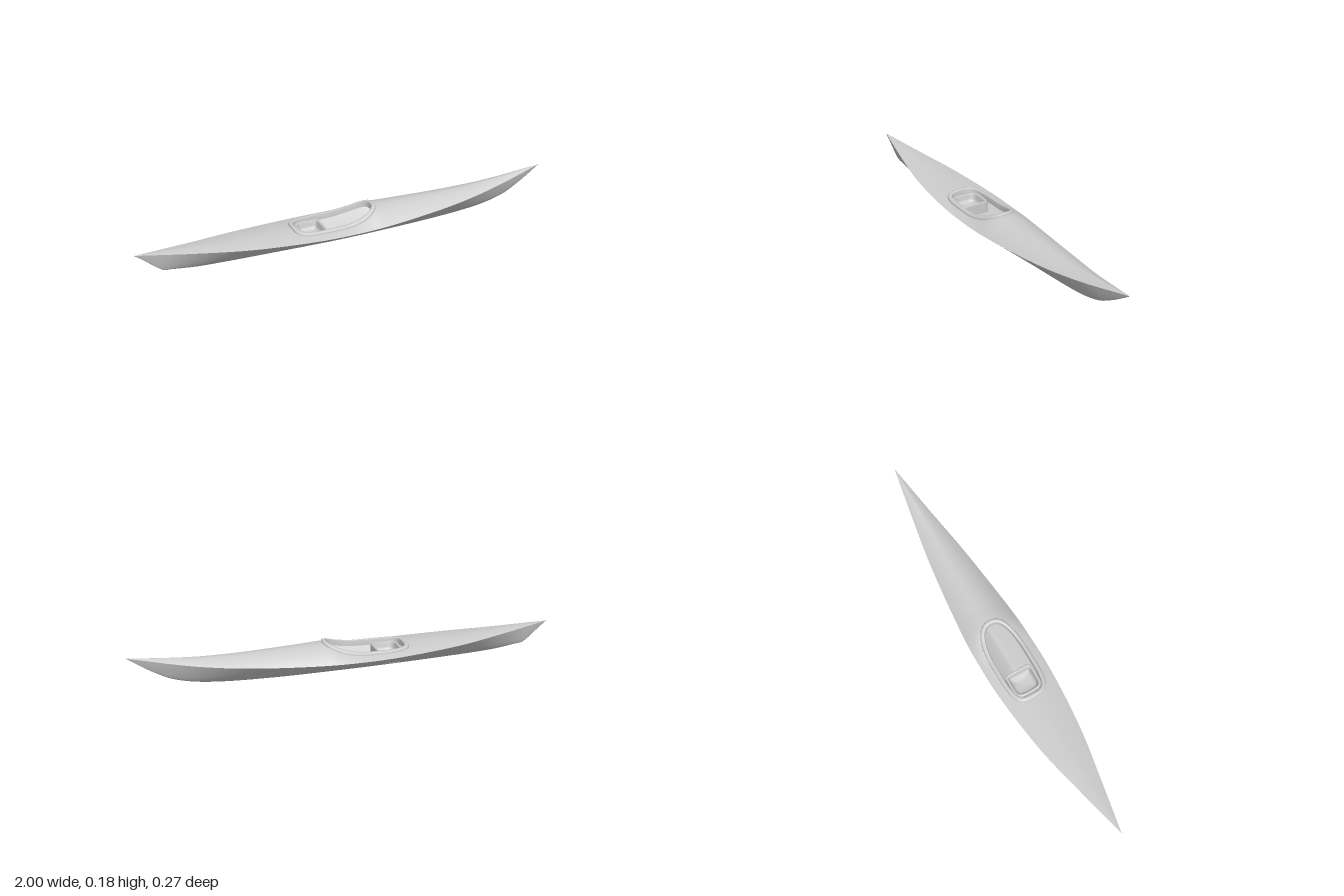
import * as THREE from 'three';
import { mergeVertices, mergeGeometries } from 'three/addons/utils/BufferGeometryUtils.js';

// Smooth curve through [x, value] points
function profile(pts) {
  const slope = i => {
    const a = pts[Math.max(0, i - 1)], b = pts[Math.min(pts.length - 1, i + 1)];
    return (b[1] - a[1]) / (b[0] - a[0]);
  };
  return x => {
    let i = 0;
    while (i < pts.length - 2 && x > pts[i + 1][0]) i++;
    const [x0, y0] = pts[i], [x1, y1] = pts[i + 1], h = x1 - x0, t = (x - x0) / h;
    const t2 = t * t, t3 = t2 * t;
    return (2 * t3 - 3 * t2 + 1) * y0 + (t3 - 2 * t2 + t) * h * slope(i)
      + (3 * t2 - 2 * t3) * y1 + (t3 - t2) * h * slope(i + 1);
  };
}

// Lines of the boat: beam, sheer, keel and deck ridge along its length
const beam = profile([[-1, 0], [-0.75, 0.054], [-0.5, 0.103], [-0.2, 0.133], [0, 0.135], [0.15, 0.127], [0.5, 0.087], [0.75, 0.045], [1, 0]]);
const sheer = profile([[-1, 0.12], [-0.7, 0.098], [-0.4, 0.084], [0, 0.078], [0.4, 0.092], [0.7, 0.121], [1, 0.176]]);
const keel = profile([[-1, 0.12], [-0.97, 0.098], [-0.93, 0.065], [-0.88, 0.026], [-0.84, 0.02], [-0.7, 0.006], [-0.4, 0], [0.1, 0], [0.4, 0.005], [0.65, 0.022], [0.8, 0.055], [0.9, 0.108], [1, 0.176]]);
const ridge = profile([[-1, 0.12], [-0.7, 0.106], [-0.3, 0.098], [-0.05, 0.105], [0.03, 0.123], [0.1, 0.142], [0.2, 0.14], [0.5, 0.137], [0.7, 0.145], [1, 0.176]]);

function deckHeight(x, z) {
  const w = Math.max(beam(x), 1e-5), s = sheer(x);
  const p = 2 - 0.8 * Math.min(1, Math.abs(x) ** 2);
  return s + (ridge(x) - s) * (1 - Math.min(1, Math.abs(z) / w) ** p);
}

// Cockpit opening: rounded front, squarer back
const COCKPIT = { cx: -0.08, a: 0.19, b: 0.083, front: 2.5, back: 4 };
function openingHalfWidth(x) {
  const u = (x - COCKPIT.cx) / COCKPIT.a, n = u > 0 ? COCKPIT.front : COCKPIT.back;
  return Math.abs(u) >= 1 ? 0 : COCKPIT.b * (1 - Math.abs(u) ** n) ** (1 / n);
}

// Surface grid; point(i, j) returns [x, y, z]
function grid(rows, cols, point, flip = false) {
  const pos = [], idx = [];
  for (let i = 0; i <= rows; i++) for (let j = 0; j <= cols; j++) pos.push(...point(i, j));
  for (let i = 0; i < rows; i++) for (let j = 0; j < cols; j++) {
    const a = i * (cols + 1) + j, b = a + 1, c = a + cols + 1, d = c + 1;
    if (flip) idx.push(a, c, b, b, c, d);
    else idx.push(a, b, c, b, d, c);
  }
  const g = new THREE.BufferGeometry();
  g.setAttribute('position', new THREE.Float32BufferAttribute(pos, 3));
  g.setIndex(idx);
  return g;
}

function smooth(g) {
  const m = mergeVertices(g, 1e-5);
  m.computeVertexNormals();
  return m;
}

// Nested closed rings round a superellipse; ring(k, cos, sin) places each point
function rings(count, o, place) {
  const N = 72;
  return smooth(grid(count - 1, N, (k, j) => {
    const t = (j % N) / N * Math.PI * 2, c = Math.cos(t), s = Math.sin(t);
    const n = c > 0 ? o.front : o.back;
    return place(k, Math.sign(c) * Math.abs(c) ** (2 / n), Math.sign(s) * Math.abs(s) ** (2 / n));
  }));
}

export function createModel() {
  const group = new THREE.Group();
  const grey = new THREE.MeshStandardMaterial({ color: 0xcccccc, side: THREE.DoubleSide });
  grey.name = 'light grey';
  const add = (name, geometry) => {
    const mesh = new THREE.Mesh(geometry, grey);
    mesh.name = name;
    group.add(mesh);
  };

  // Stations, denser round the cockpit
  const xs = [];
  for (let i = 0; i <= 100; i++) xs.push(-1 + i / 50);
  for (let i = 0; i <= 60; i++) xs.push(COCKPIT.cx - COCKPIT.a * Math.cos(Math.PI * i / 60));
  xs.sort((a, b) => a - b);
  const rows = xs.length - 1;

  // Hull sides, meeting in a sharp keel
  for (const side of [1, -1]) {
    add(side > 0 ? 'hullFrontSide' : 'hullBackSide', smooth(grid(rows, 14, (i, j) => {
      const x = xs[i], t = j / 14, k = keel(x);
      return [x, k + (sheer(x) - k) * t ** 1.25, side * Math.max(0, beam(x)) * t];
    }, side < 0)));
  }

  // Deck, running from the sheer to the centre line or cockpit edge
  const halves = [1, -1].map(side => grid(rows, 14, (i, j) => {
    const x = xs[i], w = Math.max(0, beam(x));
    const z = w + (openingHalfWidth(x) - w) * j / 14;
    return [x, deckHeight(x, z), side * z];
  }, side < 0));
  add('deck', smooth(mergeGeometries(halves)));

  // Raised rim round the cockpit: [outward offset, height above deck]
  const rim = [[-0.009, -0.02], [-0.008, 0.004], [-0.005, 0.009], [0.002, 0.01], [0.009, 0.009], [0.012, 0.005], [0.012, -0.003]];
  add('cockpitRim', rings(rim.length, COCKPIT, (k, c, s) => {
    const [off, h] = rim[k];
    const x = COCKPIT.cx + (COCKPIT.a + off) * c, z = (COCKPIT.b + off) * s;
    return [x, deckHeight(x, z) + h, z];
  }));

  // Moulded seat pan: [scale, height]
  const pan = [[0, 0.046], [0.55, 0.048], [0.72, 0.054], [0.78, 0.064], [0.82, 0.084], [0.87, 0.088], [0.97, 0.088], [1, 0.084], [1, 0.032]];
  add('seat', rings(pan.length, { front: 9, back: 4 }, (k, c, s) => {
    const [scale, y] = pan[k];
    return [-0.19 + 0.062 * scale * c, y, 0.068 * scale * s];
  }));

  return group;
}
